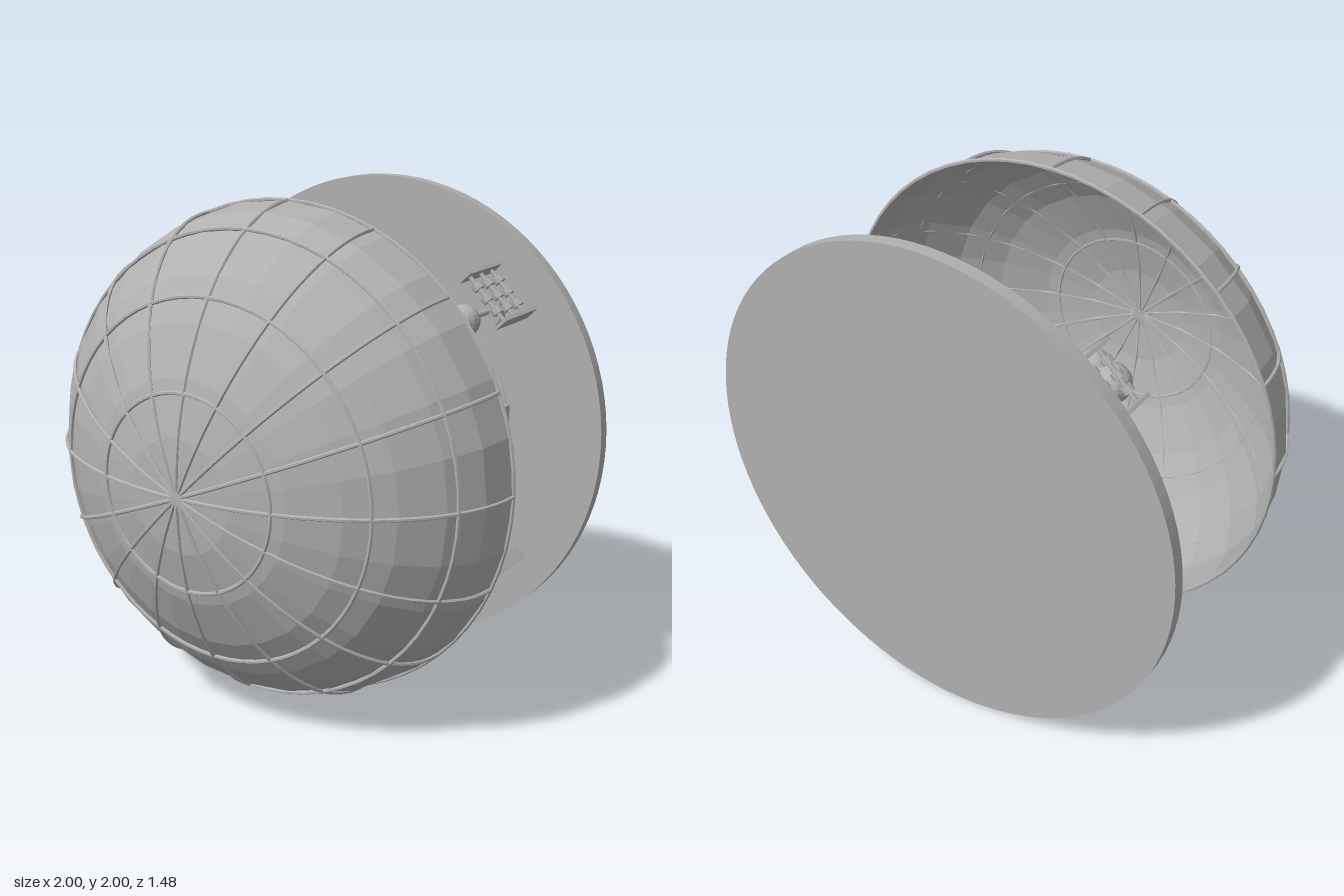
import * as THREE from 'three';

const grey = new THREE.MeshStandardMaterial({ color: 0xb0b0b0, flatShading: true, side: THREE.DoubleSide });
grey.name = 'grey';

export function createModel() {
  const model = new THREE.Group();
  model.name = 'domedStation';

  const add = (parent, name, geometry, x = 0, y = 0, z = 0) => {
    const mesh = new THREE.Mesh(geometry, grey);
    mesh.name = name;
    mesh.position.set(x, y, z);
    parent.add(mesh);
    return mesh;
  };
  // cylinder along z between two depths
  const zRod = (parent, name, r, z0, z1, sides, x = 0, y = 0) =>
    add(parent, name, new THREE.CylinderGeometry(r, r, z1 - z0, sides).rotateX(Math.PI / 2), x, y, (z0 + z1) / 2);

  // Back plate, raised central drum and thin guide ring
  zRod(model, 'backPlate', 1, -0.74, -0.69, 96, 0, 1);
  zRod(model, 'centralDrum', 0.265, -0.69, -0.632, 48, 0, 1);
  add(model, 'guideRing', new THREE.TorusGeometry(0.59, 0.004, 6, 72), 0, 1, -0.69);

  // Dome shell, open towards the plate
  const A = 0.98, B = 0.7, Z0 = 0.03;
  const dome = new THREE.SphereGeometry(1, 28, 7, 0, Math.PI * 2, 0, Math.PI / 2);
  dome.rotateX(Math.PI / 2).scale(A, A, B);
  add(model, 'domeShell', dome, 0, 1, Z0);

  // Dome frame: latitude rings and meridian ribs
  const frame = new THREE.Group();
  frame.name = 'domeFrame';
  frame.position.set(0, 1, Z0);
  model.add(frame);
  for (let i = 0; i < 4; i++) {
    const t = i * Math.PI / 8;
    add(frame, 'latitudeRing', new THREE.TorusGeometry(A * Math.cos(t), 0.008, 6, 64), 0, 0, B * Math.sin(t));
  }
  const arc = [];
  for (let i = 0; i <= 24; i++) {
    const t = i * Math.PI / 24;
    arc.push(new THREE.Vector3(A * Math.cos(t), 0, B * Math.sin(t)));
  }
  const rib = new THREE.TubeGeometry(new THREE.CatmullRomCurve3(arc), 48, 0.008, 6);
  for (let i = 0; i < 8; i++) add(frame, 'meridianRib', rib, 0, 0, 0).rotation.z = i * Math.PI / 8;

  // Three joined balls, used large in the centre and small around it
  const balls = [
    [0.08, 0.035, -0.18, 0.107],
    [-0.065, 0.005, -0.225, 0.12],
    [0, -0.065, -0.11, 0.108],
  ];
  const cluster = (name, x, y, z, s) => {
    const g = new THREE.Group();
    g.name = name;
    g.position.set(x, y, z);
    for (const [bx, by, bz, r] of balls) {
      add(g, 'ball', new THREE.SphereGeometry(r * s, 16, 12), bx * s, by * s, bz * s);
    }
    model.add(g);
  };
  cluster('centralCluster', 0, 1, 0, 1);
  zRod(model, 'centralStem', 0.018, -0.61, -0.2, 12, 0, 1);

  for (const [x, y] of [[0.495, 1.495], [-0.495, 1.495], [-0.495, 0.505], [0.495, 0.655]]) {
    cluster('smallCluster', x, y, -0.262, 0.6);
    zRod(model, 'smallStem', 0.012, -0.66, -0.38, 10, x, y);
    zRod(model, 'stemBase', 0.064, -0.69, -0.65, 20, x, y);
  }

  // Racks: two end plates joined by beaded posts, set across the diagonals
  for (let k = 0; k < 4; k++) {
    const a = Math.PI / 4 + k * Math.PI / 2;
    const rack = new THREE.Group();
    rack.name = 'beadRack';
    rack.position.set(0.835 * Math.cos(a), 1 + 0.835 * Math.sin(a), 0);
    rack.rotation.z = a;
    for (const side of [-1, 1]) {
      add(rack, 'endPlate', new THREE.BoxGeometry(0.06, 0.014, 0.268), 0, side * 0.115, -0.554);
    }
    for (const z of [-0.463, -0.55, -0.638]) {
      add(rack, 'post', new THREE.CylinderGeometry(0.009, 0.009, 0.23, 8), 0, 0, z);
      for (const y of [-0.06, 0, 0.06]) {
        add(rack, 'bead', new THREE.CylinderGeometry(0.022, 0.022, 0.026, 10), 0, y, z);
      }
    }
    model.add(rack);
  }

  // Slotted side blocks
  for (const s of [-1, 1]) {
    add(model, 'sideBlockFront', new THREE.BoxGeometry(0.03, 0.24, 0.062), s * 0.58, 1, -0.6);
    add(model, 'sideBlockNeck', new THREE.BoxGeometry(0.018, 0.2, 0.02), s * 0.58, 1, -0.635);
    add(model, 'sideBlockBase', new THREE.BoxGeometry(0.03, 0.23, 0.05), s * 0.58, 1, -0.665);
  }
  return model;
}
